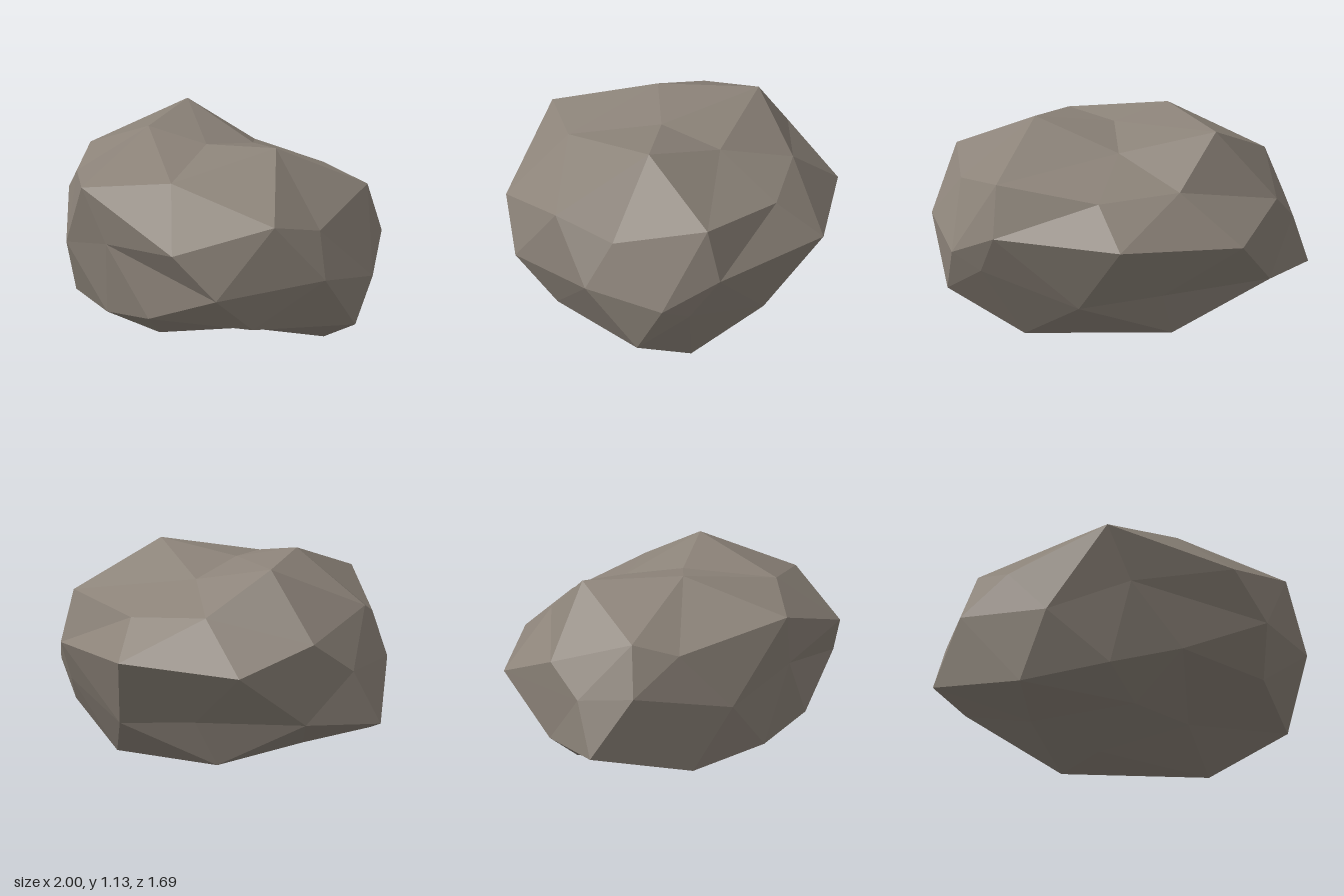
import * as THREE from 'three';

// A rock: an icosahedron split once (crown, base and five sectors), its corners pushed about.
const crown = [0.03, 1.06, 0.1];
const base = [-0.08, 0, -0.05];

// Each sector runs from the crown down to the base, going right round the rock
const sectors = [
  { crownMid: [0.47, 1.13, 0.03], upper: [0.86, 0.78, 0.11], upperMid: [0.83, 0.88, 0.44],
    legA: [1, 0.56, 0.22], legB: [0.66, 0.49, 0.72],
    lower: [0.7, 0.27, 0.47], lowerMid: [0.19, 0.28, 0.74], baseMid: [0.36, 0.11, 0.16] },
  { crownMid: [0.2, 1.01, 0.57], upper: [0.45, 0.73, 0.84], upperMid: [-0.24, 0.94, 0.8],
    legA: [-0.1, 0.64, 0.76], legB: [-0.53, 0.5, 0.6],
    lower: [-0.19, 0.2, 0.65], lowerMid: [-0.63, 0.15, 0.41], baseMid: [0, 0.07, 0.44] },
  { crownMid: [-0.28, 1.12, 0.22], upper: [-0.68, 0.8, 0.35], upperMid: [-0.79, 0.87, 0.12],
    legA: [-0.9, 0.6, 0.17], legB: [-0.9, 0.56, -0.15],
    lower: [-1, 0.27, -0.04], lowerMid: [-0.74, 0.28, -0.37], baseMid: [-0.47, 0.11, 0] },
  { crownMid: [-0.46, 1.09, -0.29], upper: [-0.78, 0.72, -0.35], upperMid: [-0.22, 0.84, -0.56],
    legA: [-0.54, 0.56, -0.71], legB: [0.15, 0.6, -0.85],
    lower: [-0.13, 0.26, -0.53], lowerMid: [0.33, 0.22, -0.57], baseMid: [-0.2, 0.02, -0.42] },
  { crownMid: [0.06, 0.98, -0.24], upper: [0.23, 0.81, -0.61], upperMid: [0.75, 0.88, -0.39],
    legA: [0.78, 0.6, -0.47], legB: [0.96, 0.46, -0.2],
    lower: [0.82, 0.38, -0.31], lowerMid: [0.96, 0.22, -0.06], baseMid: [0.57, 0, -0.24] },
];

export function createModel() {
  const stone = new THREE.MeshStandardMaterial({ color: 0x8c8379, flatShading: true });
  stone.name = 'stone';

  // One large triangle with displaced edge midpoints becomes four facets
  const positions = [];
  const facet = (a, b, c, ab, bc, ca) =>
    positions.push(...a, ...ab, ...ca, ...ab, ...b, ...bc, ...ca, ...bc, ...c, ...ab, ...bc, ...ca);

  sectors.forEach((s, i) => {
    const n = sectors[(i + 1) % sectors.length];
    facet(crown, n.upper, s.upper, n.crownMid, s.upperMid, s.crownMid); // cap
    facet(s.upper, n.upper, s.lower, s.upperMid, s.legB, s.legA); // band, pointing down
    facet(n.upper, n.lower, s.lower, n.legA, s.lowerMid, s.legB); // band, pointing up
    facet(base, s.lower, n.lower, s.baseMid, s.lowerMid, n.baseMid); // underside
  });

  const geometry = new THREE.BufferGeometry();
  geometry.setAttribute('position', new THREE.Float32BufferAttribute(positions, 3));
  geometry.computeVertexNormals();

  const rock = new THREE.Mesh(geometry, stone);
  rock.name = 'rock';
  const model = new THREE.Group();
  model.name = 'boulder';
  model.add(rock);
  return model;
}
